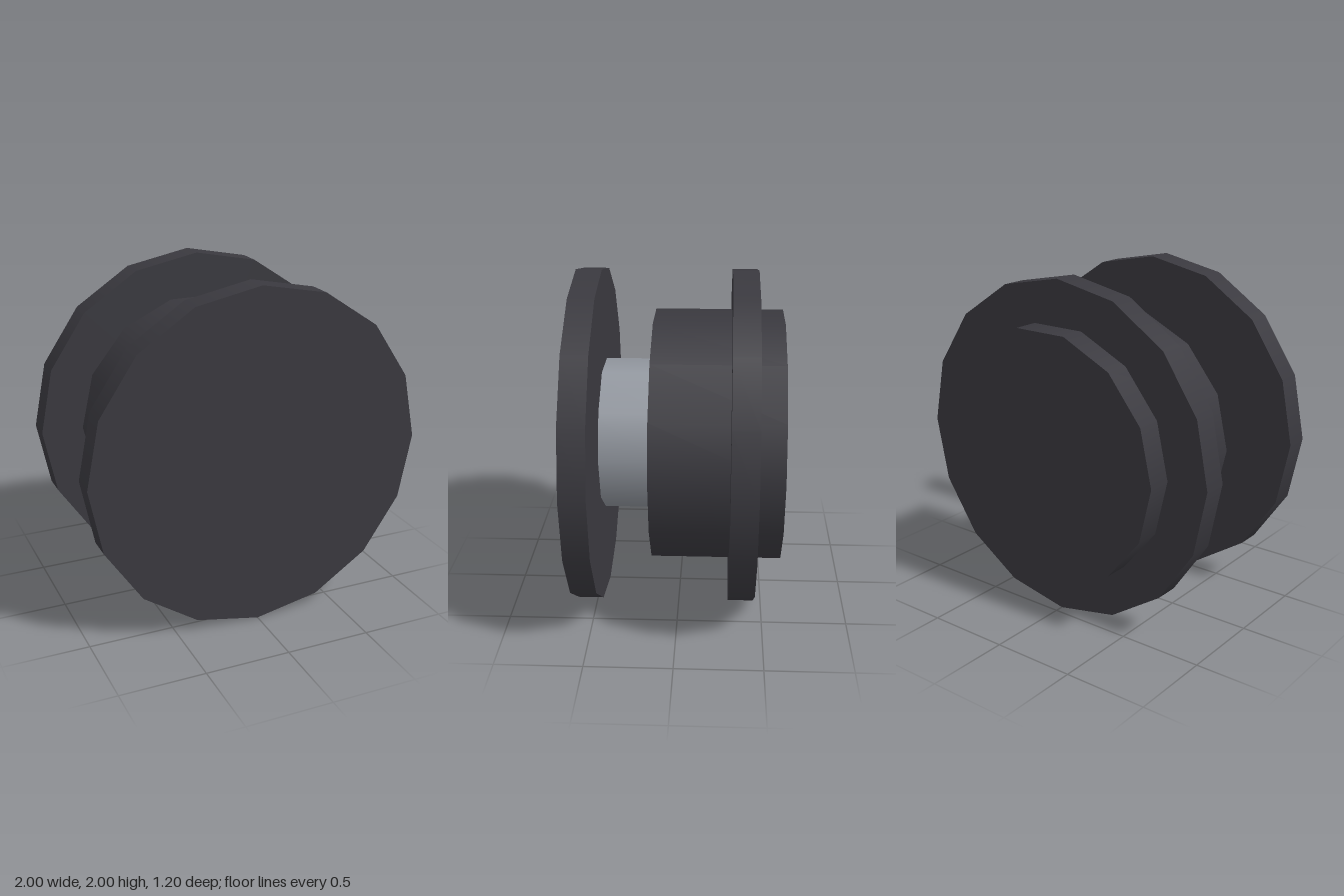
import * as THREE from 'three';

export function createModel() {
  const model = new THREE.Group();
  const dark = new THREE.MeshStandardMaterial({ color: 0x3a393f });
  dark.name = 'charcoal';
  const silver = new THREE.MeshStandardMaterial({ color: 0x9398a0 });
  silver.name = 'silver';

  // A disc along z from back to front, with a corner on the x axis.
  function disc(name, radius, sides, back, front, material) {
    const geometry = new THREE.CylinderGeometry(
      radius, radius, front - back, sides, 1, false, Math.PI / 2);
    geometry.rotateX(Math.PI / 2);
    const mesh = new THREE.Mesh(geometry, material);
    mesh.name = name;
    mesh.position.set(0, 1, (front + back) / 2);
    model.add(mesh);
  }

  disc('frontPlate', 1, 16, 0.45, 0.6, dark);
  disc('shaft', 0.45, 10, 0.1, 0.5, silver);
  disc('drum', 0.75, 14, -0.6, 0.15, dark);
  disc('rearFlange', 1, 16, -0.45, -0.3, dark);

  return model;
}
